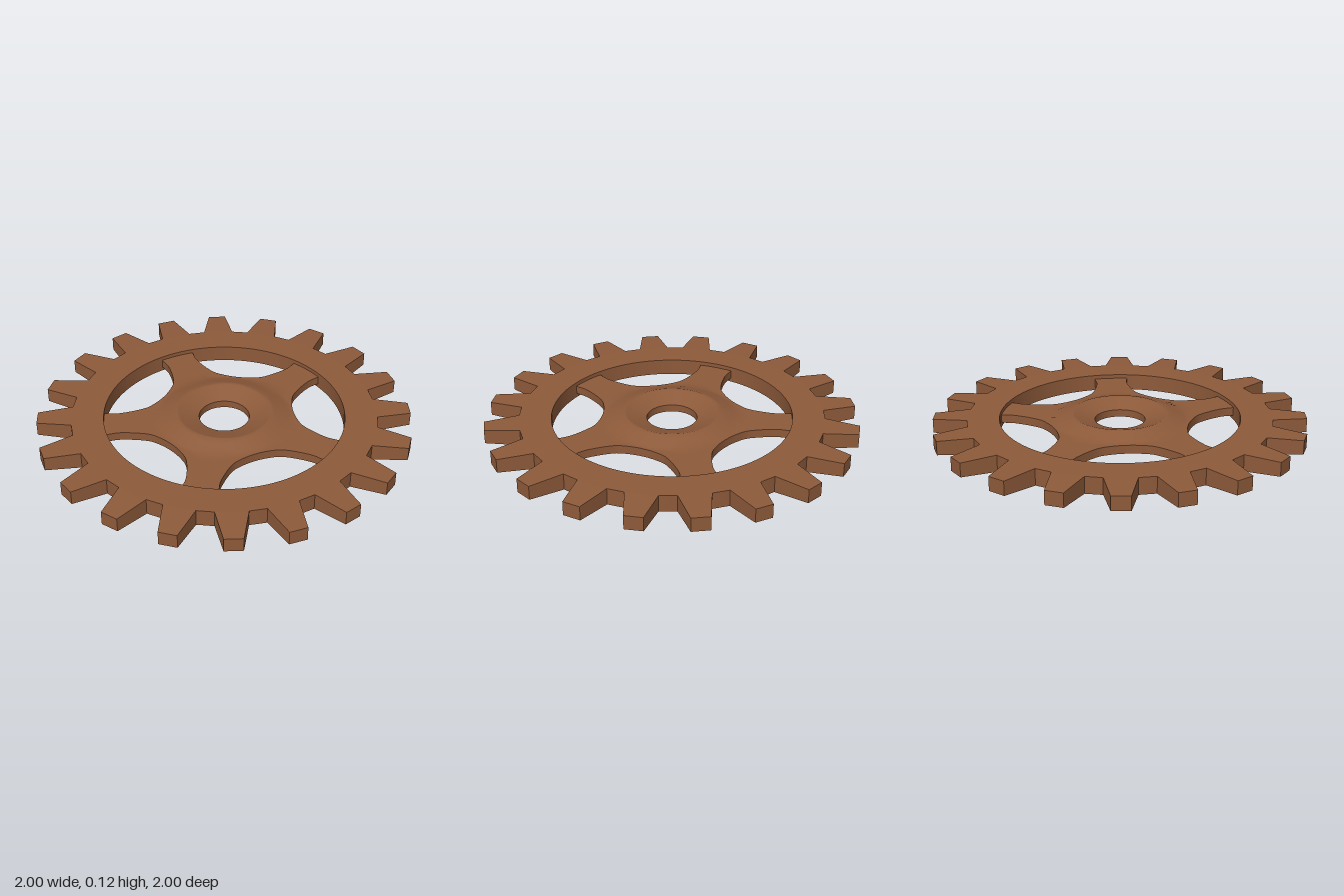
import * as THREE from 'three';
import { mergeGeometries, toCreasedNormals } from 'three/addons/utils/BufferGeometryUtils.js';

const TEETH = 20, SPOKES = 5;
const ROOT = 0.817, RIM_INNER = 0.645, HOLE = 0.135, CREST = 0.255, MID_Y = 0.06;
const RIM_HALF = 0.045, TIP_HALF = 0.038;
const DEG = Math.PI / 180;
const TOOTH_OFFSET = 4.6 * DEG, ROOT_HALF_ANGLE = 5.85 * DEG;
const { lerp, clamp } = THREE.MathUtils;

// Plan position for an angle measured clockwise from the back (-z)
const polar = (a, r) => new THREE.Vector2(Math.sin(a) * r, Math.cos(a) * r);

// Flat ring with straight root facets outside and a round opening
function rimGeometry() {
  const corners = [];
  for (let i = TEETH - 1; i >= 0; i--) {
    const a = TOOTH_OFFSET + (i / TEETH) * Math.PI * 2;
    corners.push(polar(a + ROOT_HALF_ANGLE, ROOT), polar(a - ROOT_HALF_ANGLE, ROOT));
  }
  const shape = new THREE.Shape(corners);
  shape.holes.push(new THREE.Path().absarc(0, 0, RIM_INNER, 0, Math.PI * 2, true));
  const geo = new THREE.ExtrudeGeometry(shape, { depth: RIM_HALF * 2, bevelEnabled: false, curveSegments: 72 });
  geo.translate(0, 0, -RIM_HALF).rotateX(-Math.PI / 2);
  return toCreasedNormals(geo, 0.3);
}

// Tapered block, narrower and thinner at the tip
function toothGeometry(angle) {
  const geo = new THREE.BoxGeometry(2, 2, 2).toNonIndexed();
  const p = geo.attributes.position;
  const rootZ = ROOT * Math.cos(ROOT_HALF_ANGLE), rootX = ROOT * Math.sin(ROOT_HALF_ANGLE);
  for (let i = 0; i < p.count; i++) {
    const tip = p.getZ(i) < 0;
    p.setXYZ(i,
      p.getX(i) * (tip ? 0.048 : rootX),
      p.getY(i) * (tip ? TIP_HALF : RIM_HALF),
      tip ? -0.999 : -rootZ);
  }
  geo.computeVertexNormals();
  return geo.rotateY(-angle);
}

// Rays from the bore to the hub and spoke outline, running clockwise
function spiderRays() {
  const step = (2 * Math.PI) / SPOKES, center = new THREE.Vector2();
  // Spoke edge to the middle of the opening: sideways, outward
  const half = [[0.099, 0.66], [0.0875, 0.56], [0.115, 0.425], [0.157, 0.36], [0.22, 0.303]]
    .map(([u, v]) => new THREE.Vector2(u, v));
  // Mirror across the middle of the opening
  const mirrored = half.slice(0, -1).reverse()
    .map((q) => polar(step - Math.atan2(q.x, q.y), q.length()));
  const edge = new THREE.SplineCurve([...half, ...mirrored]).getPoints(32);
  const spokeEnd = [-3, -2, -1, 0, 1, 2, 3]
    .map((i) => polar((i / 4) * Math.atan2(half[0].x, half[0].y), half[0].length()));
  const sector = [...spokeEnd, ...edge];
  const rays = [];
  for (let k = 0; k < SPOKES; k++) {
    const base = Math.PI + k * step;
    sector.forEach((q, i) => rays.push({
      angle: base + ((i - 3) / sector.length) * step,
      end: q.clone().rotateAround(center, -base),
    }));
  }
  return rays;
}

// Point along a ray: bore to raised ring, then on to the outline
function along({ angle, end }, t) {
  return t < 0.5
    ? polar(angle, lerp(HOLE, CREST, t * 2))
    : polar(angle, CREST).lerp(end, t * 2 - 1);
}

// Dished round the bore, thickest at the ring, thin along the spokes
function halfThickness(r) {
  return r < CREST
    ? lerp(0.02, 0.06, (r - HOLE) / (CREST - HOLE))
    : lerp(0.06, 0.023, clamp((r - CREST) / 0.105, 0, 1));
}

// One strip swept round the rays; section(t) gives place on the ray and side
function strip(rays, steps, section) {
  const pos = [], index = [], n = rays.length, w = steps + 1;
  rays.forEach((ray, i) => {
    for (let j = 0; j <= steps; j++) {
      const [t, side] = section(j / steps), q = along(ray, t);
      pos.push(q.x, halfThickness(q.length()) * side, -q.y);
      if (j < steps) {
        const a = i * w + j, d = ((i + 1) % n) * w + j;
        index.push(a, d + 1, a + 1, a, d, d + 1);
      }
    }
  });
  const geo = new THREE.BufferGeometry();
  geo.setAttribute('position', new THREE.Float32BufferAttribute(pos, 3));
  geo.setIndex(index);
  geo.computeVertexNormals();
  return geo;
}

function spiderGeometry() {
  const rays = spiderRays();
  return mergeGeometries([
    strip(rays, 20, (t) => [t, 1]), // top
    strip(rays, 1, (t) => [1, 1 - 2 * t]), // outer wall
    strip(rays, 20, (t) => [1 - t, -1]), // underside
    strip(rays, 1, (t) => [0, 2 * t - 1]), // bore
  ]);
}

export function createModel() {
  const group = new THREE.Group();
  group.name = 'gear';
  const brown = new THREE.MeshStandardMaterial({ color: 0x8d5a3a });
  brown.name = 'brown';

  const add = (name, geometry) => {
    const mesh = new THREE.Mesh(geometry, brown);
    mesh.name = name;
    mesh.position.y = MID_Y;
    group.add(mesh);
  };

  const teeth = Array.from({ length: TEETH }, (_, i) =>
    toothGeometry(TOOTH_OFFSET + (i / TEETH) * Math.PI * 2));

  add('rim', rimGeometry());
  add('teeth', mergeGeometries(teeth));
  add('hubAndSpokes', spiderGeometry());
  return group;
}
